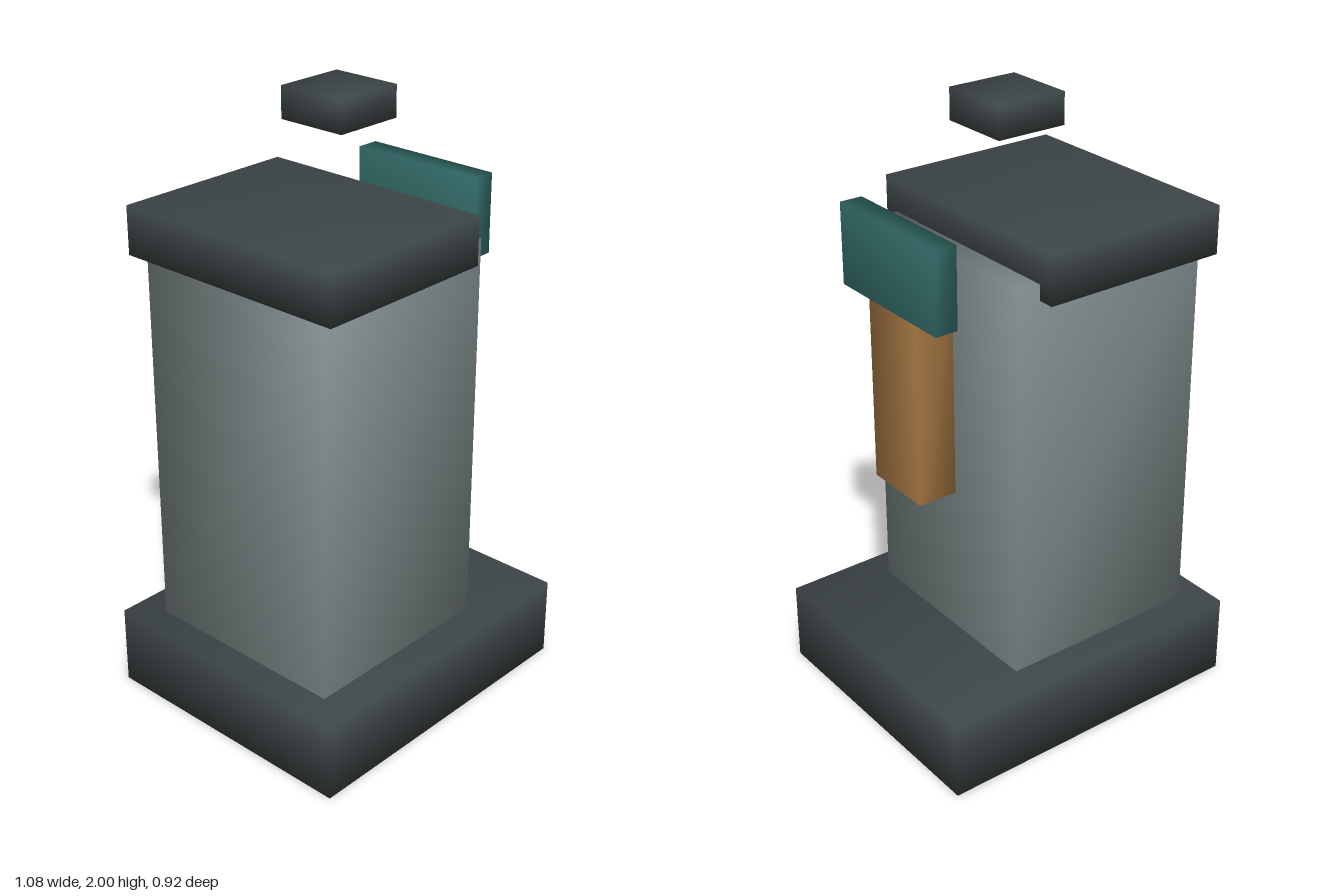
import * as THREE from 'three';
import { mergeVertices } from 'three/addons/utils/BufferGeometryUtils.js';

// Box between two corners, with shared corners so the shading is smooth
function block(name, color, [x0, y0, z0], [x1, y1, z1]) {
  let geo = new THREE.BoxGeometry(x1 - x0, y1 - y0, z1 - z0);
  geo.deleteAttribute('normal');
  geo.deleteAttribute('uv');
  geo = mergeVertices(geo);
  geo.computeVertexNormals();
  const mesh = new THREE.Mesh(geo, new THREE.MeshStandardMaterial({ color }));
  mesh.name = name;
  mesh.position.set((x0 + x1) / 2, (y0 + y1) / 2, (z0 + z1) / 2);
  return mesh;
}

export function createModel() {
  const model = new THREE.Group();
  model.name = 'blockTower';
  const dark = 0x3d4547, grey = 0x7c8888, orange = 0xa67843, teal = 0x35706c;

  model.add(
    // Foot and main column
    block('base', dark, [-0.54, 0, -0.46], [0.54, 0.265, 0.46]),
    block('column', grey, [-0.45, 0.26, -0.355], [0.235, 1.555, 0.355]),
    // Off-centre lid and the small block floating above it
    block('lid', dark, [-0.475, 1.505, -0.408], [0.155, 1.66, 0.408]),
    block('floatingBlock', dark, [-0.118, 1.9, -0.118], [0.118, 2, 0.118]),
    // Side handle with its head plate
    block('handle', orange, [0.287, 0.82, -0.118], [0.418, 1.505, 0.118]),
    block('handleHead', teal, [0.355, 1.425, -0.237], [0.43, 1.685, 0.237]),
  );
  return model;
}
